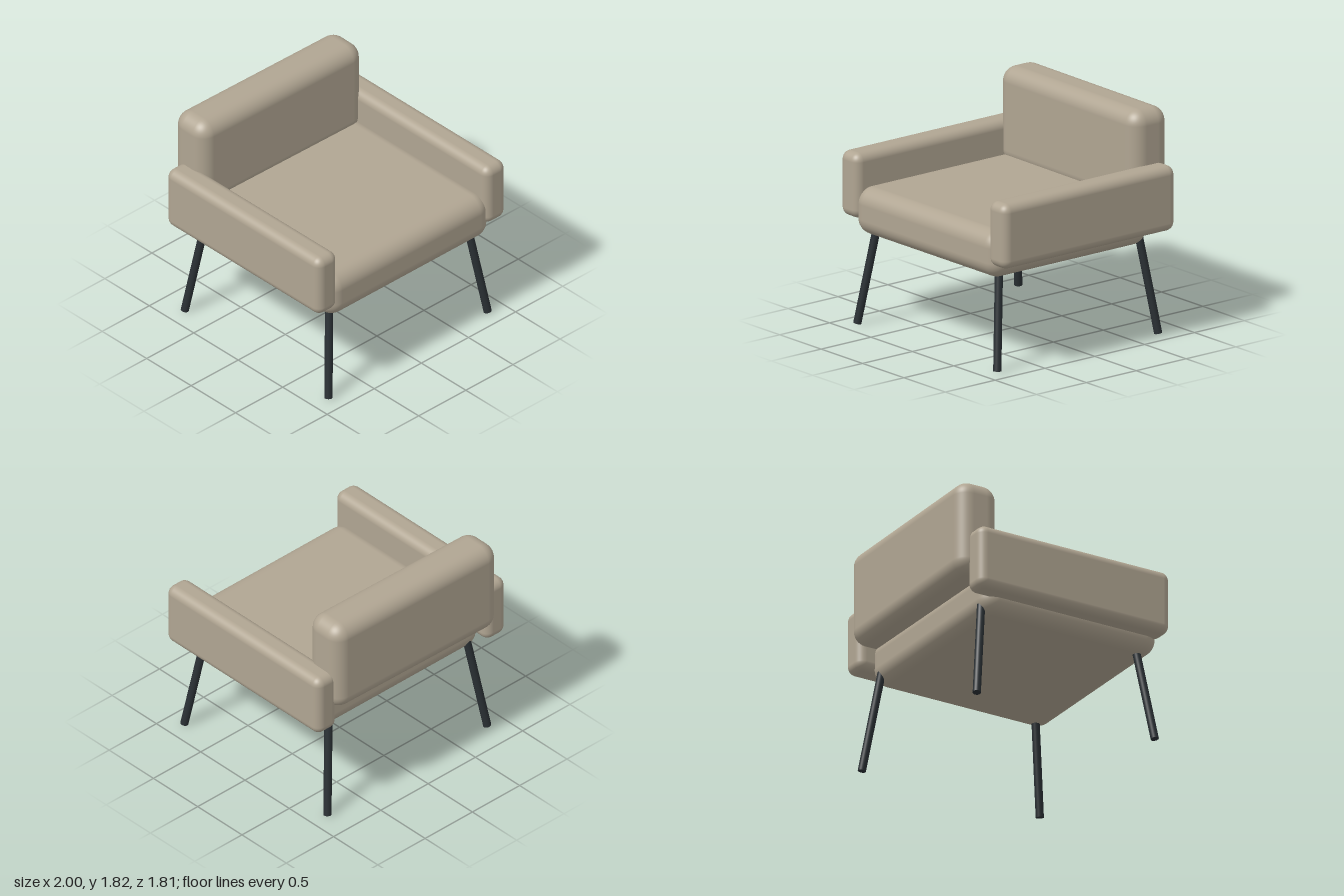
import * as THREE from 'three';
import { RoundedBoxGeometry } from 'three/addons/geometries/RoundedBoxGeometry.js';

export function createModel() {
  const chair = new THREE.Group();
  chair.name = 'armchair';
  const fabric = new THREE.MeshStandardMaterial({ color: 0xb0a592 });
  const metal = new THREE.MeshStandardMaterial({ color: 0x2a3034 });

  // Upholstered block with softly rounded edges
  function cushion(name, size, radius, position) {
    const mesh = new THREE.Mesh(new RoundedBoxGeometry(...size, 6, radius), fabric);
    mesh.name = name;
    mesh.position.set(...position);
    chair.add(mesh);
    return mesh;
  }

  // Round leg running between two points
  function leg(name, foot, top) {
    const axis = top.clone().sub(foot);
    const mesh = new THREE.Mesh(new THREE.CylinderGeometry(0.032, 0.032, axis.length(), 24), metal);
    mesh.name = name;
    mesh.position.copy(foot).add(top).multiplyScalar(0.5);
    mesh.quaternion.setFromUnitVectors(new THREE.Vector3(0, 1, 0), axis.normalize());
    chair.add(mesh);
  }

  cushion('seat', [1.73, 0.38, 1.585], 0.13, [0, 0.925, 0.1]);

  // Backrest, turned very slightly about the vertical
  const back = cushion('backrest', [1.7, 0.785, 0.355], 0.12, [0, 1.4225, -0.72]);
  back.rotation.y = -0.0155;

  // Armrests and splayed legs, mirrored left and right
  for (const [side, s] of [['left', 1], ['right', -1]]) {
    cushion(side + 'Armrest', [0.215, 0.525, 1.73], 0.07, [s * 0.8925, 1.1175, 0.04]);
    leg(side + 'FrontLeg', new THREE.Vector3(s * 0.845, 0.006, 0.85), new THREE.Vector3(s * 0.72, 0.9, 0.727));
    leg(side + 'BackLeg', new THREE.Vector3(s * 0.845, 0.006, -0.765), new THREE.Vector3(s * 0.72, 0.9, -0.645));
  }
  return chair;
}
